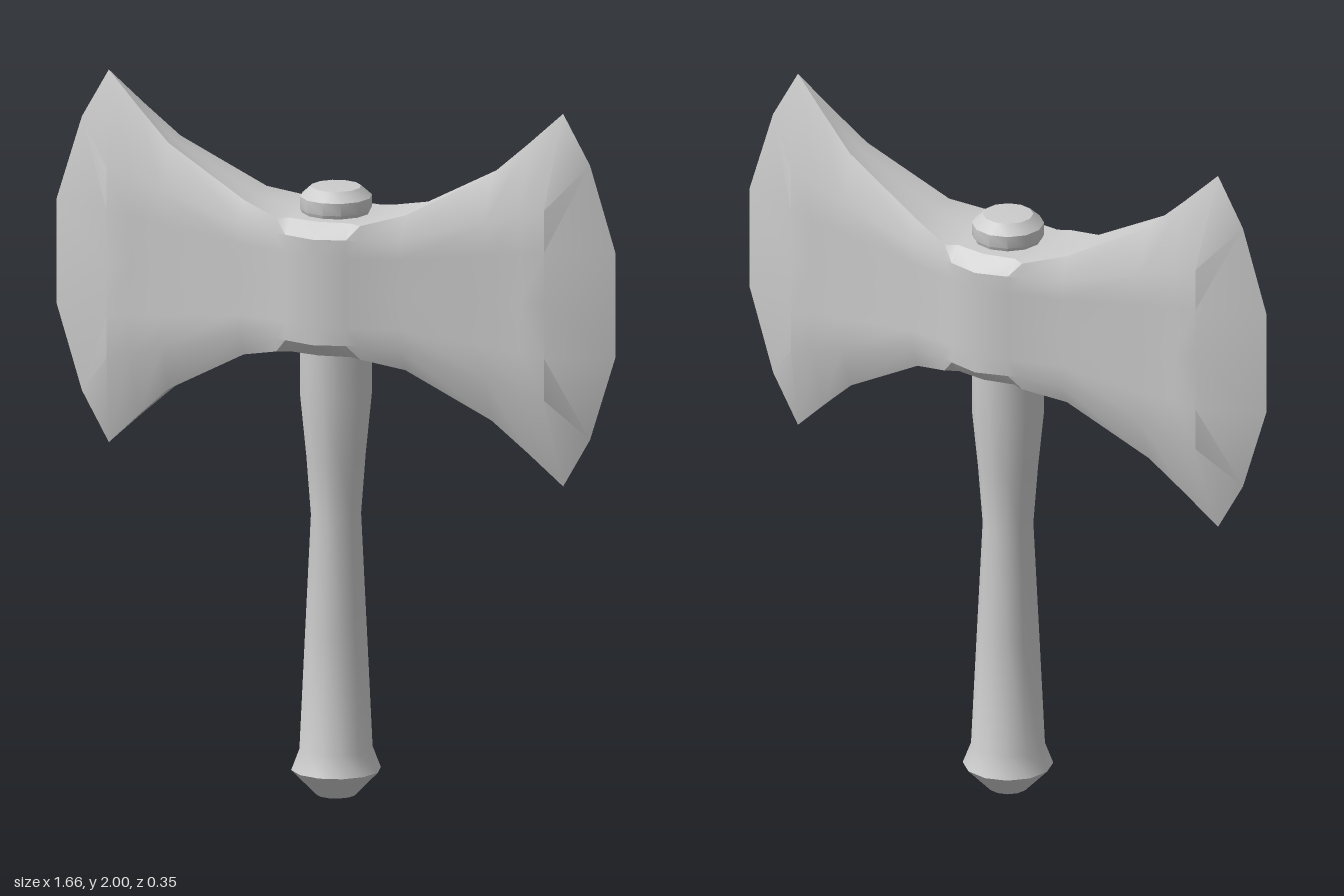
import * as THREE from 'three';
import { toCreasedNormals } from 'three/addons/utils/BufferGeometryUtils.js';

const HEAD_Y = 1.47; // mid-height of the axe head

// Each station runs from the middle of the side face, over the rim, to the centre plane.
const station = (x, yB, yA, zA, yRim, zRim) => [
  [x, 0, zA], [x, yB, zA], [x, yA, zA], [x, yRim, zRim], [x, yRim, 0],
];
const STATIONS = [
  station(0, 0.10, 0.15, 0.177, 0.19, 0.13),       // collar ridge
  station(0.09, 0.10, 0.15, 0.152, 0.19, 0.115),   // collar chamfer
  station(0.125, 0.10, 0.15, 0.142, 0.19, 0.132),  // collar end
  station(0.24, 0.10, 0.16, 0.115, 0.22, 0.085),
  station(0.48, 0.13, 0.22, 0.092, 0.35, 0.045),
  station(0.58, 0.14, 0.25, 0.08, 0.44, 0.022),
  [[0.65, 0, 0.08], [0.65, 0.15, 0.08], [0.65, 0.27, 0.08], [0.675, 0.53, 0], [0.675, 0.53, 0]],
  [[0.83, 0, 0], [0.83, 0.15, 0], [0.755, 0.39, 0], [0.675, 0.53, 0], [0.675, 0.53, 0]], // cutting edge
];

// One octant of the head, mirrored across all three planes
function headGeometry() {
  const pos = [];
  const same = (a, b) => a.every((v, i) => v === b[i]);
  for (const sx of [1, -1]) for (const sy of [1, -1]) for (const sz of [1, -1]) {
    const tri = (a, b, c) => {
      if (same(a, b) || same(b, c) || same(a, c)) return;
      const order = sx * sy * sz > 0 ? [a, b, c] : [a, c, b];
      for (const p of order) pos.push(p[0] * sx, p[1] * sy, p[2] * sz);
    };
    for (let i = 0; i < STATIONS.length - 1; i++) {
      for (let j = 0; j < 4; j++) {
        const a = STATIONS[i][j], b = STATIONS[i + 1][j];
        const c = STATIONS[i + 1][j + 1], d = STATIONS[i][j + 1];
        tri(a, b, c);
        tri(a, c, d);
      }
    }
  }
  const geo = new THREE.BufferGeometry();
  geo.setAttribute('position', new THREE.Float32BufferAttribute(pos, 3));
  return toCreasedNormals(geo, 0.6);
}

// Turned part with crisp steps and smooth sides
function turned(name, profile, material) {
  const geo = new THREE.LatheGeometry(profile.map(([r, y]) => new THREE.Vector2(r, y)), 12);
  geo.deleteAttribute('normal');
  const mesh = new THREE.Mesh(toCreasedNormals(geo, 0.65), material);
  mesh.name = name;
  return mesh;
}

export function createModel() {
  const model = new THREE.Group();
  model.name = 'doubleAxe';
  const grey = new THREE.MeshStandardMaterial({ color: 0xcccccc });
  grey.name = 'plain grey';

  const head = new THREE.Mesh(headGeometry(), grey);
  head.name = 'doubleBladeHead';
  head.position.y = HEAD_Y;

  // Waisted grip with a flared pommel
  const handle = turned('handle', [
    [0, 0], [0.055, 0.003], [0.125, 0.075], [0.102, 0.135], [0.086, 0.47],
    [0.07, 0.8], [0.083, 0.97], [0.1, 1.14], [0.1, 1.32],
  ], grey);

  // End of the shaft showing above the head
  const cap = turned('topCap', [[0.085, 1.64], [0.1, 1.67], [0.1, 1.705], [0.07, 1.732], [0, 1.735]], grey);

  model.add(head, handle, cap);
  return model;
}
